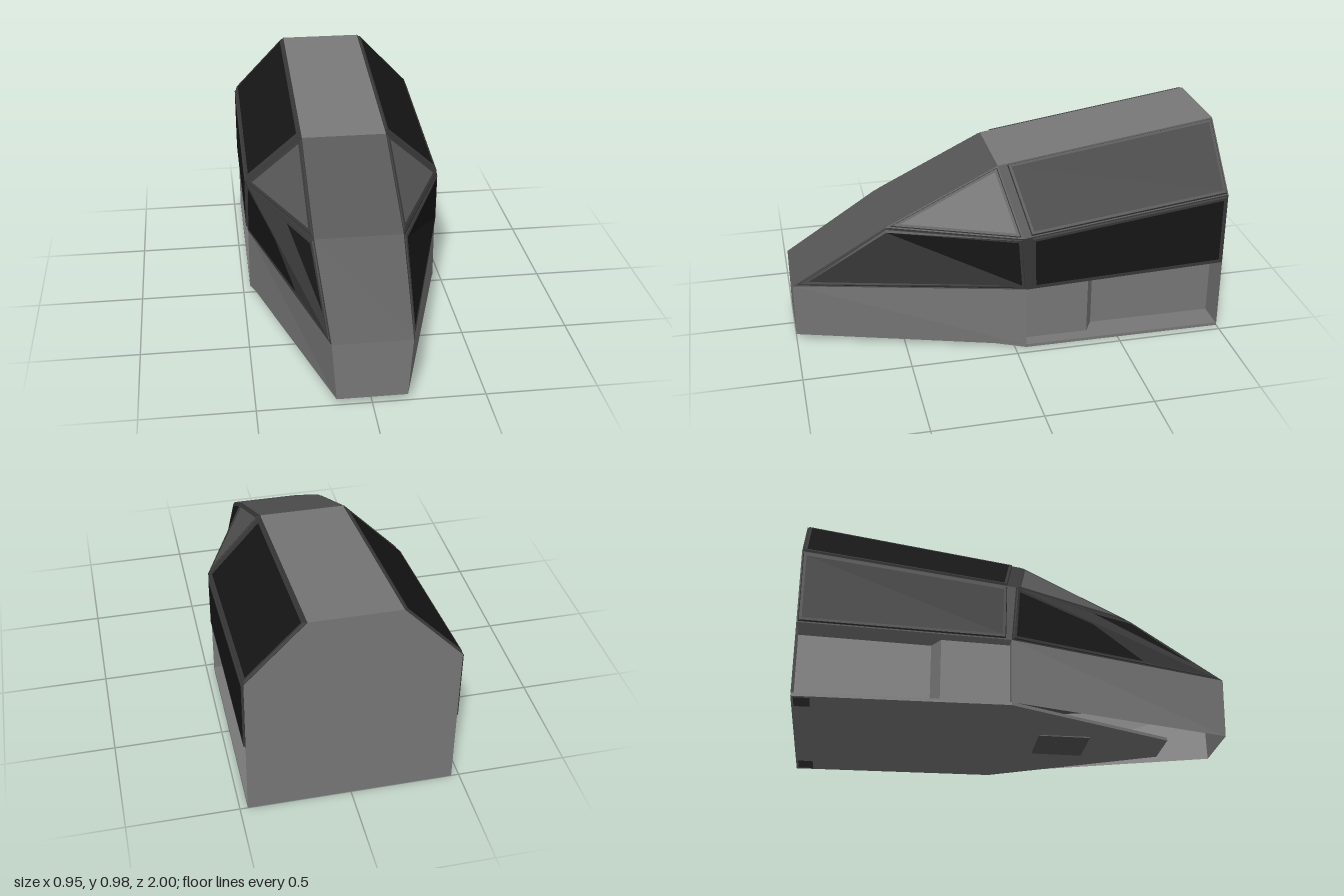
import * as THREE from 'three';

const V = (x, y, z) => new THREE.Vector3(x, y, z);
const CORE = V(0, 0.4, -0.2);

const mat = (color) => new THREE.MeshStandardMaterial({ color, side: THREE.DoubleSide });
const body = mat(0x777777);
const frame = mat(0x383838);
const black = mat(0x161616);
const glass = mat(0x555555);

// Flat-shaded mesh from a list of convex polygons
function skin(name, polys, material) {
  const pos = [];
  for (const p of polys)
    for (let i = 1; i < p.length - 1; i++)
      for (const v of [p[0], p[i], p[i + 1]]) pos.push(v.x, v.y, v.z);
  const geo = new THREE.BufferGeometry();
  geo.setAttribute('position', new THREE.Float32BufferAttribute(pos, 3));
  geo.computeVertexNormals();
  const mesh = new THREE.Mesh(geo, material);
  mesh.name = name;
  return mesh;
}

// Orders corners so that the polygon faces away from the core of the hull
function outward(p) {
  const n = V(0, 0, 0).crossVectors(p[1].clone().sub(p[0]), p[2].clone().sub(p[0]));
  return n.dot(p[0].clone().sub(CORE)) < 0 ? [...p].reverse() : p;
}

// Moves every edge of a polygon inwards by d, then lifts it by h
function inset(p, d, h) {
  const n = V(0, 0, 0).crossVectors(p[1].clone().sub(p[0]), p[2].clone().sub(p[0])).normalize();
  return p.map((c, i) => {
    const a = p[(i + p.length - 1) % p.length].clone().sub(c).normalize();
    const b = p[(i + 1) % p.length].clone().sub(c).normalize();
    const k = d / a.clone().cross(b).length();
    return c.clone().addScaledVector(a.add(b), k).addScaledVector(n, h);
  });
}

// Raised panel with a bevelled rim
function panel(name, corners, material, lift = 0.008) {
  const p = outward(corners);
  const base = inset(p, 0.006, 0);
  const edge = inset(p, 0.01, lift);
  const face = inset(p, 0.022, lift);
  const ring = (a, b) => a.map((v, i) => {
    const j = (i + 1) % a.length;
    return [v, a[j], b[j], b[i]];
  });
  const g = new THREE.Group();
  g.name = name;
  g.add(skin(name + 'Rim', [...ring(base, edge), ...ring(edge, face)], frame));
  g.add(skin(name + 'Face', [face], material));
  return g;
}

// Flat slab from a plan outline of [x, z] points, top at y = 0
function slab(name, plan, thickness, material) {
  const shape = new THREE.Shape(plan.map(([x, z]) => new THREE.Vector2(x, z)));
  const geo = new THREE.ExtrudeGeometry(shape, { depth: thickness, bevelEnabled: false });
  geo.rotateX(Math.PI / 2);
  const mesh = new THREE.Mesh(geo, material);
  mesh.name = name;
  return mesh;
}

function hullSide(s) {
  const g = new THREE.Group();
  g.name = s > 0 ? 'leftSide' : 'rightSide';
  const P = (x, y, z) => V(s * x, y, z);

  // Key corners of the hull
  const noseTop = P(0.175, 0.305, 1), noseLow = P(0.155, 0.03, 1);
  const brow = P(0.2, 0.575, 0.56), roofFront = P(0.2, 0.835, 0.03), roofBack = P(0.2, 0.983, -1);
  const hipFront = P(0.465, 0.585, -0.03), hipBack = P(0.465, 0.705, -1);
  const sillFront = P(0.465, 0.32, -0.05), sillBack = P(0.465, 0.35, -1);
  const footFront = P(0.465, 0.02, -0.05);

  // Framework behind the panels
  const rearUpper = [roofFront, hipFront, hipBack, roofBack];
  const rearLower = [hipFront, sillFront, sillBack, hipBack];
  const frontUpper = [roofFront, brow, hipFront];
  const frontLower = [brow, noseTop, sillFront, hipFront];
  g.add(skin('sideFrame', [rearUpper, rearLower, frontUpper, frontLower].map(outward), frame));
  g.add(skin('noseSide', [outward([noseTop, noseLow, footFront, sillFront])], body));

  // Panels
  const f = 0.035;
  g.add(panel('upperRearPanel', [
    roofFront.clone().lerp(roofBack, f), hipFront.clone().lerp(hipBack, f), hipBack, roofBack], black));
  g.add(panel('lowerRearPanel', [
    hipFront.clone().lerp(hipBack, f), sillFront.clone().lerp(sillBack, 0.02), sillBack, hipBack], black));
  g.add(panel('sideWindow', frontUpper, glass, 0.004));
  g.add(panel('lowerFrontPanel', frontLower, black, 0.005));

  // Stepped recess below the rear panels
  const plan = [[0.465, -0.05], [0.405, -0.05], [0.405, -0.36], [0.335, -0.4], [0.335, -0.995], [0.465, -0.995]];
  const top = (z) => 0.32 - (z + 0.05) * 0.0316;
  const low = (z) => 0.02 + z * 0.007;
  const walls = [];
  for (let i = 0; i < plan.length - 1; i++) {
    const [x0, z0] = plan[i], [x1, z1] = plan[i + 1];
    const w = [P(x0, low(z0), z0), P(x1, low(z1), z1), P(x1, top(z1), z1), P(x0, top(z0), z0)];
    walls.push(s > 0 ? w.reverse() : w);
  }
  g.add(skin('recessWalls', walls, body));
  const ceiling = [[0, 1, 2], [0, 2, 3], [0, 3, 5], [3, 4, 5]].map((t) =>
    t.map((i) => P(plan[i][0], top(plan[i][1]), plan[i][1])));
  g.add(skin('recessCeiling', s > 0 ? ceiling.map((t) => t.reverse()) : ceiling, body));

  // Foot pad under the rear corner
  const pad = new THREE.Mesh(new THREE.BoxGeometry(0.1, 0.006, 0.07), frame);
  pad.name = 'footPad';
  pad.position.set(s * 0.4, 0.003, -0.955);
  g.add(pad);
  return g;
}

export function createModel() {
  const model = new THREE.Group();
  model.name = 'cabinHull';

  // Centre strip: roof, windscreen, bonnet and nose
  const strip = [[0.2, 0.983, -1], [0.2, 0.835, 0.03], [0.2, 0.575, 0.56], [0.175, 0.305, 1], [0.155, 0.03, 1]];
  ['roof', 'windscreen', 'bonnet', 'nose'].forEach((name, i) => {
    const [x0, y0, z0] = strip[i], [x1, y1, z1] = strip[i + 1];
    const quad = [V(-x0, y0, z0), V(-x1, y1, z1), V(x1, y1, z1), V(x0, y0, z0)];
    model.add(skin(name, [quad], i === 1 || i === 2 ? glass : body));
  });

  // Rear wall
  const half = [[0.465, 0.003], [0.465, 0.705], [0.2, 0.983]];
  const rear = [...half, ...half.map(([x, y]) => [-x, y]).reverse()];
  model.add(skin('rearWall', [outward(rear.map(([x, y]) => V(x, y, -1)))], body));

  // Floor, slightly tilted, tapering short of the nose so the front stays open below
  const floor = slab('floor', [[-0.465, -1], [0.465, -1], [0.465, -0.05], [0.11, 0.73], [-0.11, 0.73], [-0.465, -0.05]], 0.015, body);
  floor.rotation.x = -0.007;
  floor.position.y = 0.022;
  model.add(floor);

  // Square hatch under the floor
  const hatch = new THREE.Mesh(new THREE.BoxGeometry(0.24, 0.006, 0.24), glass);
  hatch.name = 'floorHatch';
  hatch.position.set(0, 0.007, 0.24);
  model.add(hatch);

  model.add(hullSide(1), hullSide(-1));
  return model;
}
